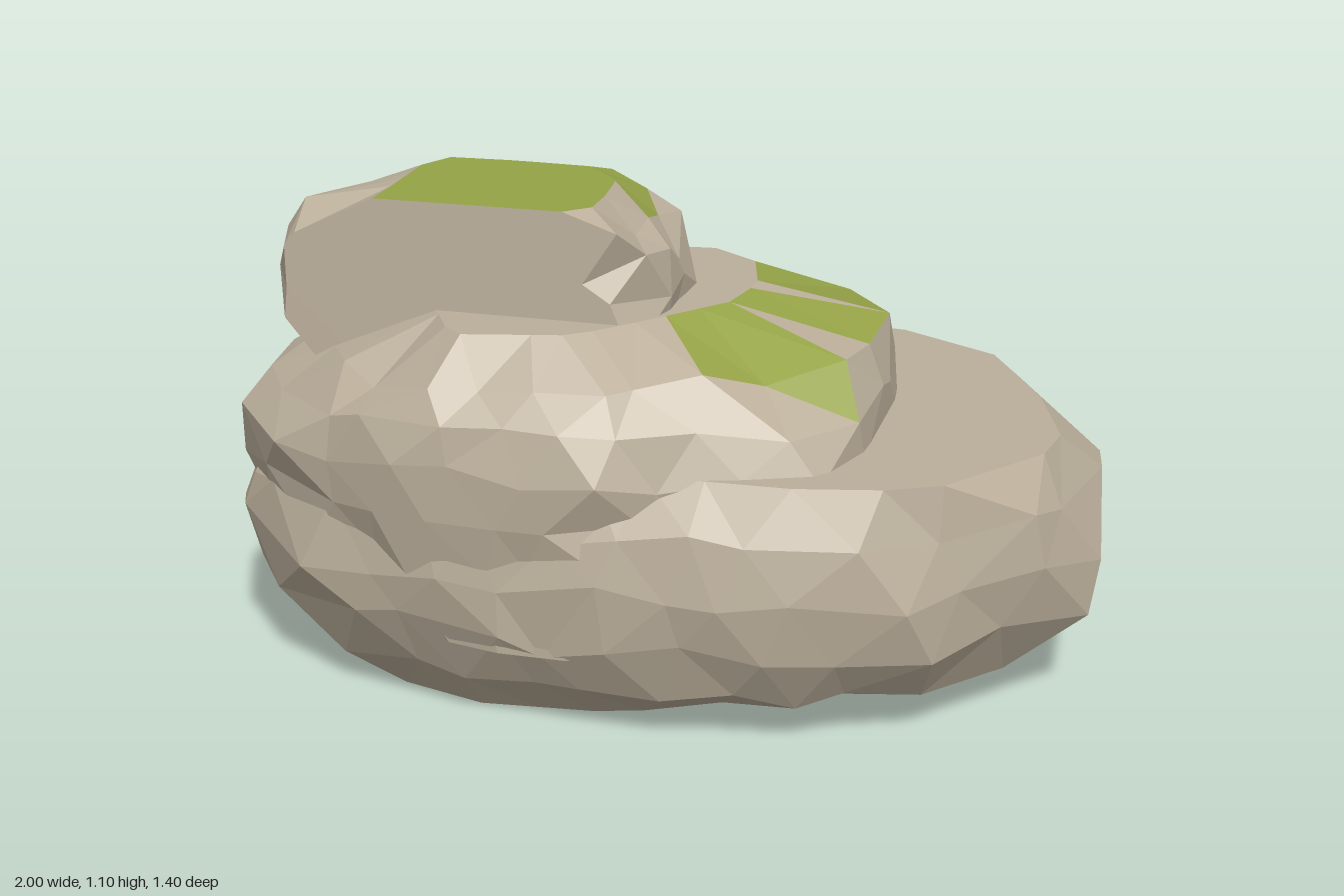
import * as THREE from 'three';

// small seeded generator for facet irregularity
function seeded(seed) {
  return () => {
    seed = (seed * 16807) % 2147483647;
    return seed / 2147483647 - 0.5;
  };
}

// distance from a centre to a closed [x, z] outline along an angle
function reach(outline, [cx, cz], angle) {
  const dx = Math.cos(angle), dz = Math.sin(angle);
  let best = 0;
  outline.forEach(([ax, az], i) => {
    const [bx, bz] = outline[(i + 1) % outline.length];
    const ex = bx - ax, ez = bz - az, det = dx * ez - dz * ex;
    if (Math.abs(det) < 1e-9) return;
    const px = ax - cx, pz = az - cz;
    const t = (px * ez - pz * ex) / det, u = (px * dz - pz * dx) / det;
    if (t > best && u >= -1e-6 && u <= 1 + 1e-6) best = t;
  });
  return best;
}

function facetMesh(name, positions, color) {
  const geometry = new THREE.BufferGeometry();
  geometry.setAttribute('position', new THREE.Float32BufferAttribute(positions, 3));
  geometry.computeVertexNormals();
  const mesh = new THREE.Mesh(geometry, new THREE.MeshStandardMaterial({ color, flatShading: true }));
  mesh.name = name;
  return mesh;
}

// faceted boulder: staggered rings [y, outline, scale], flat caps, sides sheared off at a box
function boulder({ name, centre, rings, sides, seed, rough, box, cut, moss }) {
  const rnd = seeded(seed), last = rings.length - 1;
  const [min, max] = box.map((c) => new THREE.Vector3(...c));
  const grid = rings.map(([y, outline, scale = 1], k) => Array.from({ length: sides }, (_, i) => {
    const inner = k > 0 && k < last;
    const angle = (i + (k % 2) / 2 + rnd() * 0.6) / sides * Math.PI * 2;
    const r = reach(outline, centre, angle) * scale * (1 + (inner ? 0.012 + rnd() * rough : 0));
    const p = new THREE.Vector3(centre[0] + Math.cos(angle) * r,
      y + (inner ? rnd() * 0.07 : 0), centre[1] + Math.sin(angle) * r);
    if (cut) cut(p);
    return p.clamp(min, max);
  }));

  const stone = [], green = [];
  const face = (a, b, c) => {
    const mid = a.clone().add(b).add(c).divideScalar(3);
    const n = b.clone().sub(a).cross(c.clone().sub(a)).normalize();
    const target = moss && moss(mid, n) ? green : stone;
    for (const p of [a, b, c]) target.push(p.x, p.y, p.z);
  };
  for (let k = 0; k < last; k++) {
    const L = grid[k], U = grid[k + 1];
    for (let i = 0; i < sides; i++) {
      const j = (i + 1) % sides;
      if (k % 2 === 0) {
        face(L[j], L[i], U[i]);
        face(L[j], U[i], U[j]);
      } else {
        face(L[i], U[i], U[j]);
        face(L[j], L[i], U[j]);
      }
    }
  }
  const average = (ring) => ring.reduce((s, p) => s.add(p), new THREE.Vector3()).divideScalar(sides);
  const low = average(grid[0]), high = average(grid[last]);
  for (let i = 0; i < sides; i++) {
    const j = (i + 1) % sides;
    face(low, grid[0][i], grid[0][j]);
    face(high, grid[last][j], grid[last][i]);
  }

  const group = new THREE.Group();
  group.name = name;
  group.add(facetMesh(name + 'Stone', stone, 0xbbaf9b));
  if (green.length) group.add(facetMesh(name + 'Moss', green, 0x95a347));
  return group;
}

export function createModel() {
  const model = new THREE.Group();
  model.name = 'stackedRocks';

  // wide bottom rock: skewed foot, sheer ends and a flat top ledge
  const foot = [[-0.88, 0], [-0.85, 0.1], [-0.55, 0.48], [-0.35, 0.55], [0, 0.51], [0.45, 0.27], [0.66, 0.03],
    [0.73, -0.1], [0.59, -0.38], [0.3, -0.55], [0.02, -0.61], [-0.25, -0.54], [-0.55, -0.39], [-0.8, -0.12]];
  const belt = [[-1.02, -0.39], [-0.85, -0.5], [-0.6, -0.61], [-0.22, -0.7], [0.25, -0.69], [0.5, -0.59],
    [0.75, -0.43], [0.95, -0.23], [1, 0.17], [0.8, 0.44], [0.6, 0.58], [0.3, 0.68], [0, 0.7],
    [-0.4, 0.69], [-0.75, 0.6], [-0.95, 0.36], [-1.02, 0.24]];
  const rim = [[-0.95, -0.3], [-0.82, -0.44], [-0.58, -0.56], [-0.2, -0.65], [0.3, -0.65], [0.52, -0.54],
    [0.75, -0.38], [0.94, -0.2], [0.99, 0.17], [0.79, 0.43], [0.58, 0.57], [0.3, 0.66], [0, 0.67],
    [-0.4, 0.66], [-0.73, 0.57], [-0.94, 0.36]];
  const ledge = [[-0.84, -0.2], [-0.65, -0.38], [-0.2, -0.49], [-0.13, -0.57], [0.4, -0.57], [0.68, -0.41],
    [0.86, -0.05], [0.9, 0.15], [0.8, 0.42], [0.5, 0.57], [0, 0.59], [-0.5, 0.56], [-0.85, 0.35]];
  model.add(boulder({
    name: 'bottomRock', centre: [-0.02, 0], sides: 30, seed: 71, rough: 0.035,
    rings: [[0, foot], [0.11, belt, 0.885], [0.23, belt, 0.98], [0.36, belt], [0.49, rim], [0.6, ledge]],
    box: [[-1, 0, -0.7], [1, 0.6, 0.7]],
  }));

  // middle rock: flat back, front running down over the bottom rock, bevelled front left
  const hem = [[-0.6, 0.35], [-0.5, -0.1], [0.2, -0.2], [0.2, 0.4], [0.02, 0.67], [-0.13, 0.69],
    [-0.3, 0.68], [-0.5, 0.58]];
  const skirt = [[-0.95, 0.34], [-0.95, -0.08], [-0.75, -0.2], [0.3, -0.28], [0.4, 0.3], [0.14, 0.6],
    [0, 0.68], [-0.4, 0.68], [-0.72, 0.57]];
  const waist = [[-0.95, 0.36], [-0.96, -0.12], [-0.82, -0.22], [-0.55, -0.34], [0.25, -0.34], [0.44, -0.18],
    [0.52, -0.02], [0.52, 0.35], [0.42, 0.5], [0.15, 0.59], [0, 0.69], [-0.4, 0.71], [-0.75, 0.6]];
  const chest = [[-0.88, 0.3], [-0.86, -0.08], [-0.75, -0.2], [-0.55, -0.34], [0.25, -0.34], [0.44, -0.18],
    [0.51, -0.02], [0.49, 0.33], [0.4, 0.46], [0.17, 0.56], [0, 0.66], [-0.4, 0.7], [-0.7, 0.57]];
  const shoulder = [[-0.72, 0.25], [-0.65, -0.18], [-0.5, -0.33], [0.25, -0.33], [0.42, -0.2], [0.49, 0],
    [0.44, 0.24], [0.25, 0.42], [0, 0.58], [-0.4, 0.65], [-0.65, 0.5]];
  const crown = [[-0.5, 0.3], [-0.42, -0.2], [0.1, -0.25], [0.18, -0.05], [0.18, 0.15], [0.02, 0.36],
    [-0.1, 0.5], [-0.35, 0.56]];
  model.add(boulder({
    name: 'middleRock', centre: [-0.2, 0.18], sides: 24, seed: 1907, rough: 0.04,
    rings: [[0.2, hem], [0.38, skirt], [0.48, waist, 0.985], [0.59, waist], [0.68, chest],
      [0.765, shoulder], [0.865, crown]],
    box: [[-0.95, 0.2, -0.31], [0.5, 0.865, 0.705]],
    moss: (m, n) => m.x > 0.14 && m.y > 0.72 && m.y < 0.85 && n.y > 0.3
      && ((m.z > -0.22 && m.z < -0.08) || (m.z > 0 && m.z < 0.13) || (m.z > 0.22 && m.z < 0.42)),
  }));

  // top rock with a sheer front and a mossy flat top
  const body = [[-0.88, 0.24], [-0.88, 0.08], [-0.72, -0.1], [-0.6, -0.2], [-0.25, -0.23], [-0.1, -0.17],
    [0, -0.07], [0.05, 0.02], [0.05, 0.24], [0, 0.45], [-0.78, 0.45]];
  const brow = [[-0.8, 0.2], [-0.78, 0.05], [-0.65, -0.08], [-0.5, -0.12], [-0.25, -0.14], [-0.1, -0.07],
    [-0.03, 0.1], [-0.04, 0.45], [-0.75, 0.45]];
  const cap = [[-0.6, 0.05], [-0.6, -0.02], [-0.4, -0.03], [-0.2, -0.02], [-0.11, 0.12], [-0.1, 0.45], [-0.58, 0.45]];
  model.add(boulder({
    name: 'topRock', centre: [-0.4, 0.16], sides: 20, seed: 433, rough: 0.04,
    rings: [[0.73, body, 0.92], [0.82, body, 0.98], [0.89, body], [0.97, body, 0.96], [1.04, brow], [1.1, cap]],
    box: [[-0.87, 0.73, -0.23], [0.055, 1.1, 0.42]],
    cut: (p) => {
      const front = 0.41 - (p.y - 0.83) * 0.08;
      if (p.z > front - 0.05) p.z = front;
    },
    moss: (m, n) => m.y > 1.095 || (m.x > -0.22 && m.z < 0.12 && m.y > 1.03 && n.y > 0.5),
  }));

  return model;
}
